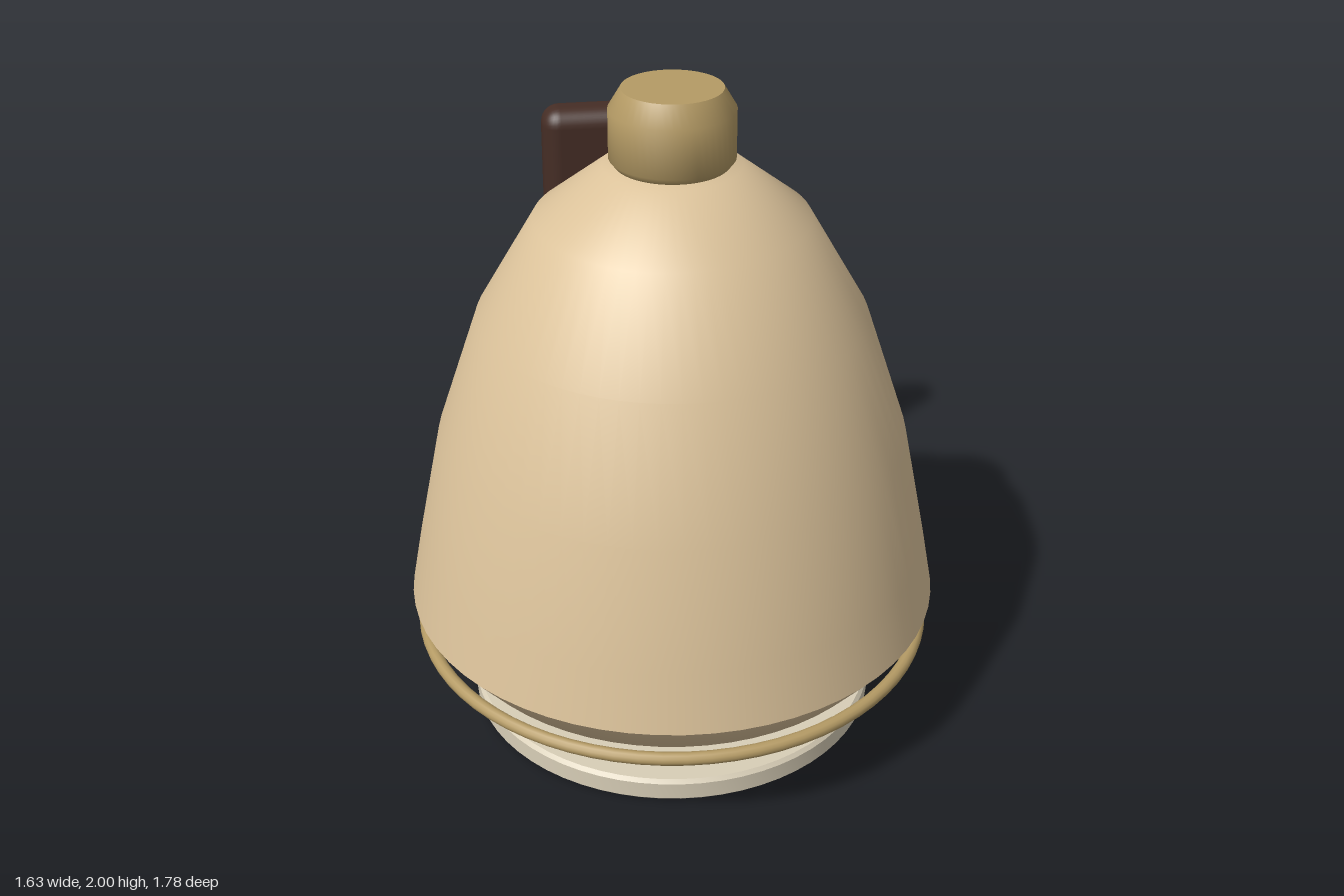
import * as THREE from 'three';
import { RoundedBoxGeometry } from 'three/addons/geometries/RoundedBoxGeometry.js';
import { toCreasedNormals } from 'three/addons/utils/BufferGeometryUtils.js';

const AXIS_Z = 0.073;

function material(name, color) {
  const m = new THREE.MeshStandardMaterial({ color });
  m.name = name;
  return m;
}

// Closed turned solid; edges sharper than the crease angle stay hard
function turned(points, segments, crease) {
  const profile = points.map(([r, y]) => new THREE.Vector2(r, y));
  return toCreasedNormals(new THREE.LatheGeometry(profile, segments), crease);
}

export function createModel() {
  const group = new THREE.Group();
  group.name = 'kettle';
  const cream = material('cream enamel', 0xdcc39b);
  const brass = material('brass', 0xb59b65);
  const wood = material('dark wood', 0x452d25);
  const stone = material('pale base', 0xd8ceb7);

  function add(name, geometry, mat, x, y, z) {
    const mesh = new THREE.Mesh(geometry, mat);
    mesh.name = name;
    mesh.position.set(x, y, z);
    group.add(mesh);
    return mesh;
  }

  // Bell-shaped body, capped top and bottom
  add('body', turned([
    [0, 0.205], [0.55, 0.205], [0.71, 0.268], [0.815, 0.397], [0.78, 0.58],
    [0.705, 0.94], [0.575, 1.32], [0.4, 1.62], [0.2, 1.775], [0, 1.775],
  ], 64, 0.75), cream, 0, 0, AXIS_Z);

  // Lid knob
  add('knob', turned([
    [0, 1.777], [0.165, 1.777], [0.181, 1.797], [0.181, 1.94], [0.145, 2], [0, 2],
  ], 48, 0.8), brass, 0, 0, AXIS_Z);

  // Floating trim ring around the lower body
  const ring = add('trimRing', new THREE.TorusGeometry(0.784, 0.02, 12, 72), brass, 0, 0.287, AXIS_Z);
  ring.rotation.x = Math.PI / 2;

  // Separate power base
  add('base', turned([
    [0, 0], [0.625, 0], [0.635, 0.01], [0.635, 0.063], [0.625, 0.075], [0, 0.075],
  ], 64, 0.6), stone, 0, 0, AXIS_Z);

  // Upright handle slab behind the body
  add('handle', new RoundedBoxGeometry(0.61, 1.226, 0.145, 4, 0.06), wood, 0, 1.027, -0.8175);

  // Handle studs
  for (const [name, y] of [['upperStud', 1.525], ['lowerStud', 0.53]]) {
    const stud = add(name, new THREE.CylinderGeometry(0.05, 0.05, 0.036, 24), brass, 0, y, -0.718);
    stud.rotation.x = Math.PI / 2;
  }

  // Tilted arm emerging from the back of the body
  const tilt = 0.17;
  const length = 0.3;
  const arm = add('handleArm', new THREE.CylinderGeometry(0.059, 0.059, length, 24), brass,
    0, 1.058 + Math.sin(tilt) * length / 2, -0.725 + Math.cos(tilt) * length / 2);
  arm.rotation.x = Math.PI / 2 - tilt + 2 * tilt;

  return group;
}
